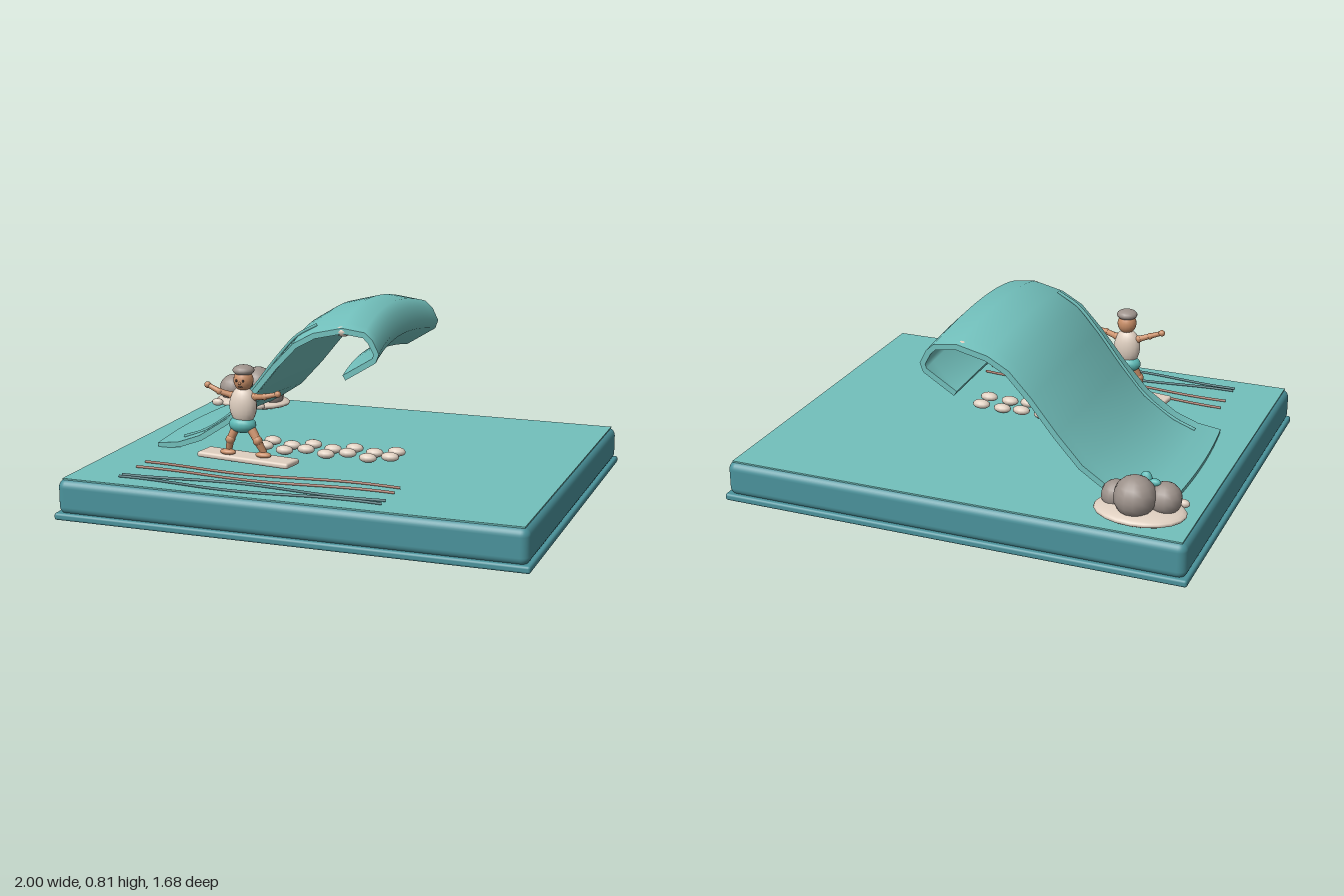
import * as THREE from 'three';
import { toCreasedNormals } from 'three/addons/utils/BufferGeometryUtils.js';
import { RoundedBoxGeometry } from 'three/addons/geometries/RoundedBoxGeometry.js';

const mat = (name, color) => {
  const m = new THREE.MeshStandardMaterial({ color });
  m.name = name;
  return m;
};
const V = (x, y, z) => new THREE.Vector3(x, y, z);

export function createModel() {
  const deepSea = mat('deep sea', 0x4a939c);
  const water = mat('water', 0x72c0bc);
  const foam = mat('foam', 0xdfcfc0);
  const stone = mat('stone', 0x9d928b);
  const skin = mat('skin', 0xcb9069);
  const trunksTeal = mat('trunks teal', 0x5cbab6);
  const darkTeal = mat('dark teal', 0x2f6468);
  const copper = mat('copper', 0x9a6450);
  const ink = mat('ink', 0x3a2d2a);

  const model = new THREE.Group();
  const add = (name, geo, material, parent = model, x = 0, y = 0, z = 0) => {
    const mesh = new THREE.Mesh(geo, material);
    mesh.name = name;
    mesh.position.set(x, y, z);
    parent.add(mesh);
    return mesh;
  };
  const ball = (name, material, parent, x, y, z, rx, ry = rx, rz = rx, seg = 14) => {
    const mesh = add(name, new THREE.SphereGeometry(1, seg, Math.round(seg * 0.7)), material, parent, x, y, z);
    mesh.scale.set(rx, ry, rz);
    return mesh;
  };
  const limb = (name, material, parent, a, b, ra, rb) => {
    const dir = b.clone().sub(a);
    const mesh = add(name, new THREE.CylinderGeometry(rb, ra, dir.length(), 10), material, parent);
    mesh.position.copy(a).add(b).multiplyScalar(0.5);
    mesh.quaternion.setFromUnitVectors(V(0, 1, 0), dir.normalize());
    return mesh;
  };
  const tube = (name, points, radius, material) => add(name,
    new THREE.TubeGeometry(new THREE.CatmullRomCurve3(points), 40, radius, 6), material);
  const group = (name) => {
    const g = new THREE.Group();
    g.name = name;
    model.add(g);
    return g;
  };

  // Base slab with plinth and water surface
  add('plinth', new RoundedBoxGeometry(2, 0.03, 1.68, 2, 0.01), deepSea, model, 0, 0.015, 0);
  add('seaBlock', new RoundedBoxGeometry(1.98, 0.15, 1.66, 4, 0.035), deepSea, model, 0, 0.095, 0);
  add('waterSurface', new THREE.BoxGeometry(1.94, 0.006, 1.62), water, model, 0, 0.17, 0);

  // Curling wave: thin profile swept along z, bulging at mid length
  const halfWave = 0.418, waveZ = -0.2, ground = 0.17;
  const profile = [[-0.83, 0.19], [-0.73, 0.203], [-0.63, 0.24], [-0.5, 0.325], [-0.395, 0.44],
    [-0.285, 0.575], [-0.19, 0.675], [-0.1, 0.725], [0.03, 0.755], [0.13, 0.742], [0.165, 0.71],
    [0.192, 0.655], [0.178, 0.617], [0.045, 0.535]].map(([x, y]) => new THREE.Vector2(x, y));
  const normalAt = (i) => {
    const a = profile[Math.max(i - 1, 0)], b = profile[Math.min(i + 1, profile.length - 1)];
    const t = b.clone().sub(a).normalize();
    return new THREE.Vector2(-t.y, t.x);
  };
  const inner = profile.map((p, i) => p.clone().addScaledVector(normalAt(i), -0.024));
  const bulge = (x, y, z) => {
    const u = 1 - ((z - waveZ) / halfWave) ** 2;
    return V(x - 0.025 * u, ground + (y - ground) * (1 + 0.1 * u), z);
  };
  const sheet = new THREE.ExtrudeGeometry(new THREE.Shape([...profile, ...inner.reverse()]),
    { depth: halfWave * 2, steps: 16, bevelEnabled: false });
  sheet.translate(0, 0, waveZ - halfWave);
  const pos = sheet.attributes.position;
  for (let i = 0; i < pos.count; i++) {
    const p = bulge(pos.getX(i), pos.getY(i), pos.getZ(i));
    pos.setXYZ(i, p.x, p.y, p.z);
  }
  add('wave', toCreasedNormals(sheet, 0.9), water);

  // Raised ridge running up the wave's back
  tube('waveRidge', profile.slice(1, 8).map((p, i) => {
    const n = normalAt(i + 1);
    return bulge(p.x + n.x * 0.004, p.y + n.y * 0.004, 0.135);
  }), 0.007, water);

  // Foam under the crest and in two trails across the water
  const foamGroup = group('foam');
  for (let i = 0; i < 7; i++) {
    const z = 0.195 - i * 0.13;
    const p = bulge(0.03, 0.732, z);
    ball('crestFoam', foam, foamGroup, p.x, p.y, z, 0.034, 0.022, 0.026, 12);
  }
  for (let i = 0; i < 7; i++) {
    for (const z of [0.06, 0.15]) {
      ball('foamBlob', foam, foamGroup, 0.22 - i * 0.095, i % 2 ? 0.195 : 0.205,
        z + (i % 2 ? 0.012 : 0), 0.04, 0.02, 0.027, 12);
    }
  }

  // Ripple lines in front of the wave
  [[0.495, 0.02, 0, copper], [0.575, 0.018, 0.5, copper],
    [0.667, -0.02, 0.2, darkTeal], [0.733, 0.02, 0.3, darkTeal]].forEach(([z, amp, phase, m]) => {
    const pts = [];
    for (let i = 0; i <= 16; i++) {
      const t = i / 16;
      pts.push(V(-0.76 + 1.14 * t, 0.177, z - amp * Math.cos(t * 7.6 - phase)));
    }
    tube('ripple', pts, 0.006, m);
  });

  // Rocky islet in the back corner
  const islet = group('islet');
  ball('sandBank', foam, islet, -0.75, 0.195, -0.65, 0.187, 0.03, 0.137, 20);
  ball('rockLarge', stone, islet, -0.74, 0.27, -0.69, 0.085);
  ball('rockLeft', stone, islet, -0.845, 0.255, -0.635, 0.067);
  ball('rockRight', stone, islet, -0.645, 0.235, -0.63, 0.06);
  ball('seaPlant', trunksTeal, islet, -0.755, 0.297, -0.598, 0.028, 0.042, 0.022, 10);
  ball('seaPlantSmall', trunksTeal, islet, -0.805, 0.32, -0.645, 0.025, 0.015, 0.016, 10);
  ball('pebble', foam, islet, -0.89, 0.2, -0.545, 0.03, 0.018, 0.018, 10);
  ball('pebble', foam, islet, -0.67, 0.2, -0.535, 0.03, 0.018, 0.018, 10);

  // Surfboard with fin
  const board = group('surfboard');
  board.position.set(-0.325, 0.214, 0.395);
  board.rotation.y = -0.14;
  add('deck', new RoundedBoxGeometry(0.44, 0.024, 0.106, 3, 0.01), foam, board);
  add('fin', new THREE.ConeGeometry(0.016, 0.025, 8), darkTeal, board, -0.08, -0.018, 0).rotation.x = Math.PI;

  // Surfer
  const surfer = group('surfer');
  surfer.position.set(-0.34, 0, 0.4);
  ball('torso', foam, surfer, 0, 0.438, 0, 0.06, 0.083, 0.042, 18);
  ball('trunks', trunksTeal, surfer, -0.004, 0.358, 0, 0.06, 0.037, 0.042, 16);
  limb('neck', skin, surfer, V(0, 0.5, 0), V(0.003, 0.525, 0), 0.018, 0.018);
  ball('head', skin, surfer, 0.003, 0.547, 0, 0.042, 0.046, 0.04, 18);
  ball('cap', stone, surfer, 0.003, 0.588, -0.002, 0.046, 0.023, 0.044, 16);
  for (const x of [-0.012, 0.018]) ball('eye', ink, surfer, x, 0.55, 0.039, 0.005, 0.005, 0.004, 8);
  ball('nose', skin, surfer, 0.003, 0.54, 0.041, 0.006, 0.006, 0.007, 8);
  ball('mouth', ink, surfer, 0.003, 0.524, 0.035, 0.01, 0.003, 0.003, 8);

  // Jointed limbs: [upper, middle, end, thickness]
  const limbs = {
    rightArm: [V(-0.05, 0.478, 0), V(-0.1, 0.494, 0.015), V(-0.155, 0.517, 0.01), 0.014],
    leftArm: [V(0.05, 0.478, 0), V(0.105, 0.487, 0.018), V(0.16, 0.5, 0.012), 0.014],
    rightLeg: [V(-0.03, 0.35, 0), V(-0.055, 0.292, 0.012), V(-0.068, 0.242, 0), 0.02],
    leftLeg: [V(0.03, 0.35, 0), V(0.068, 0.295, 0.012), V(0.092, 0.242, 0), 0.02],
  };
  for (const [name, [a, b, c, r]] of Object.entries(limbs)) {
    const isLeg = name.endsWith('Leg');
    limb(name + 'Upper', skin, surfer, a, b, r, r * 0.85);
    limb(name + 'Lower', skin, surfer, b, c, r * 0.85, r * 0.7);
    ball(name + 'Joint', skin, surfer, b.x, b.y, b.z, r * 1.05, r * 1.05, r * 1.05, 10);
    if (isLeg) ball(name + 'Foot', skin, surfer, c.x, 0.236, 0.01, 0.036, 0.013, 0.02, 12);
    else {
      ball(name + 'Shoulder', skin, surfer, a.x, a.y, a.z, r * 1.2, r * 1.2, r * 1.2, 10);
      ball(name + 'Hand', skin, surfer, c.x, c.y, c.z, 0.015, 0.014, 0.014, 10);
    }
  }
  return model;
}
